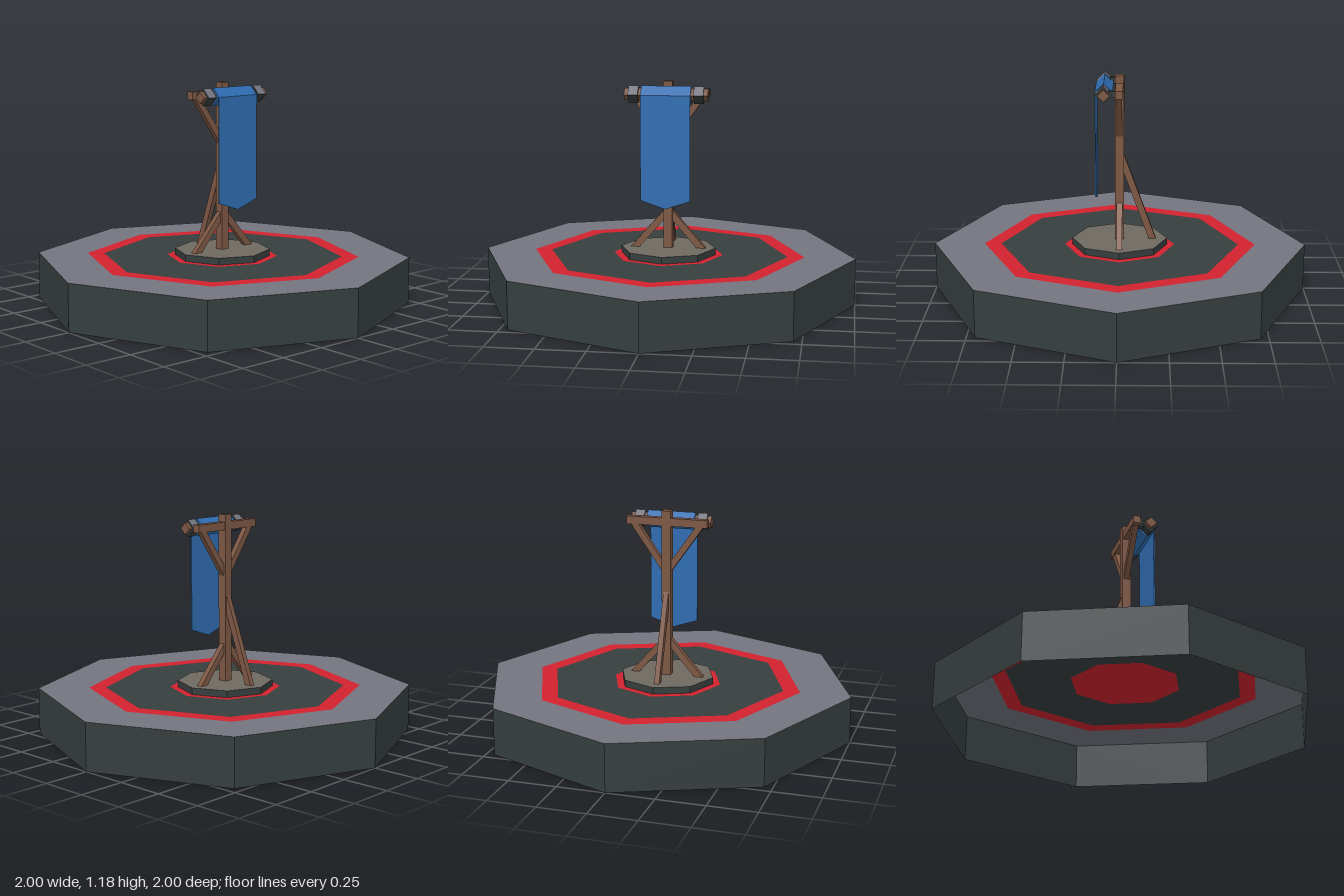
import * as THREE from 'three';

const mat = (name, color, side = THREE.FrontSide) => {
  const m = new THREE.MeshStandardMaterial({ color, flatShading: true, side });
  m.name = name;
  return m;
};

export function createModel() {
  const model = new THREE.Group();
  model.name = 'bannerStand';
  const DS = THREE.DoubleSide;
  const grey = mat('slate grey', 0x73757f, DS);
  const dark = mat('dark stone', 0x363e3e, DS);
  const red = mat('red', 0xd2222e, DS);
  const stone = mat('warm stone', 0x6f6a60, DS);
  const wood = mat('wood', 0x7d5743);
  const blue = mat('blue cloth', 0x2f6cb0, DS);

  const add = (name, geo, material, x = 0, y = 0, z = 0) => {
    const mesh = new THREE.Mesh(geo, material);
    mesh.name = name;
    mesh.position.set(x, y, z);
    model.add(mesh);
    return mesh;
  };

  // Octagonal platform: open underneath, painted in concentric bands
  const TOP = 0.25;
  add('platformWall', new THREE.CylinderGeometry(1, 1, TOP, 8, 1, true), dark, 0, TOP / 2, 0);
  const bands = [
    ['outerBand', 0.73, 1, grey],
    ['outerRedBand', 0.64, 0.73, red],
    ['innerFloor', 0.295, 0.64, dark],
  ];
  for (const [name, inner, outer, m] of bands) {
    add(name, new THREE.RingGeometry(inner, outer, 8).rotateX(-Math.PI / 2), m, 0, TOP, 0);
  }
  add('centreRed', new THREE.CircleGeometry(0.295, 8).rotateX(-Math.PI / 2), red, 0, TOP, 0);

  // Plinth
  add('plinthWall', new THREE.CylinderGeometry(0.255, 0.255, 0.036, 8, 1, true), dark, 0, TOP + 0.018, 0);
  add('plinthTop', new THREE.CircleGeometry(0.255, 8).rotateX(-Math.PI / 2), stone, 0, TOP + 0.036, 0);

  // Timber frame
  add('post', new THREE.BoxGeometry(0.048, 0.9, 0.048), wood, 0, 0.73, 0);
  add('crossbar', new THREE.BoxGeometry(0.44, 0.042, 0.04), wood, 0, 1.12, 0);

  // Square beam running between two points
  const beam = (name, a, b, w, d) => {
    const from = new THREE.Vector3(...a), to = new THREE.Vector3(...b);
    const dir = to.clone().sub(from);
    const mesh = add(name, new THREE.BoxGeometry(w, dir.length(), d), wood);
    mesh.position.copy(from).add(to).multiplyScalar(0.5);
    mesh.quaternion.setFromUnitVectors(new THREE.Vector3(0, 1, 0), dir.normalize());
  };
  beam('rearBrace', [0, 0.74, -0.01], [0, 0.272, -0.181], 0.028, 0.036);
  for (const s of [-1, 1]) {
    beam('footBrace', [s * 0.005, 0.483, 0], [s * 0.19, 0.272, 0], 0.036, 0.03);
    beam('upperBrace', [s * 0.01, 0.865, 0], [s * 0.18, 1.105, 0], 0.034, 0.03);
  }

  // Diamond-section rod along x, with cloth sleeve and end clamps
  const RY = 1.115, RZ = 0.08;
  const prism = (r, len, open = false, start = 0, arc = Math.PI * 2) =>
    new THREE.CylinderGeometry(r, r, len, arc > 4 ? 4 : 2, 1, open, start, arc).rotateZ(Math.PI / 2);
  add('rod', prism(0.032, 0.44), wood, 0, RY, RZ);
  add('clothSleeve', prism(0.046, 0.262), blue, 0, RY, RZ);
  for (const s of [-1, 1]) {
    const x = s * 0.172;
    add('clampTop', prism(0.045, 0.052, true, 0, Math.PI), grey, x, RY, RZ);
    add('clampBottom', prism(0.045, 0.052, true, Math.PI, Math.PI), dark, x, RY, RZ);
    for (const e of [-1, 1]) {
      add('clampEnd', new THREE.CircleGeometry(0.045, 4).rotateY(Math.PI / 2), dark, x + e * 0.026, RY, RZ);
    }
    add('clampArm', new THREE.BoxGeometry(0.034, 0.034, 0.05), dark, x, 1.117, 0.035);
  }

  // Hanging banner with a shallow point
  const shape = new THREE.Shape([
    [-0.131, 1.115], [-0.131, 0.56], [0, 0.515], [0.131, 0.56], [0.131, 1.115],
  ].map(([x, y]) => new THREE.Vector2(x, y)));
  add('banner', new THREE.ExtrudeGeometry(shape, { depth: 0.007, bevelEnabled: false }), blue, 0, 0, 0.12);

  return model;
}
